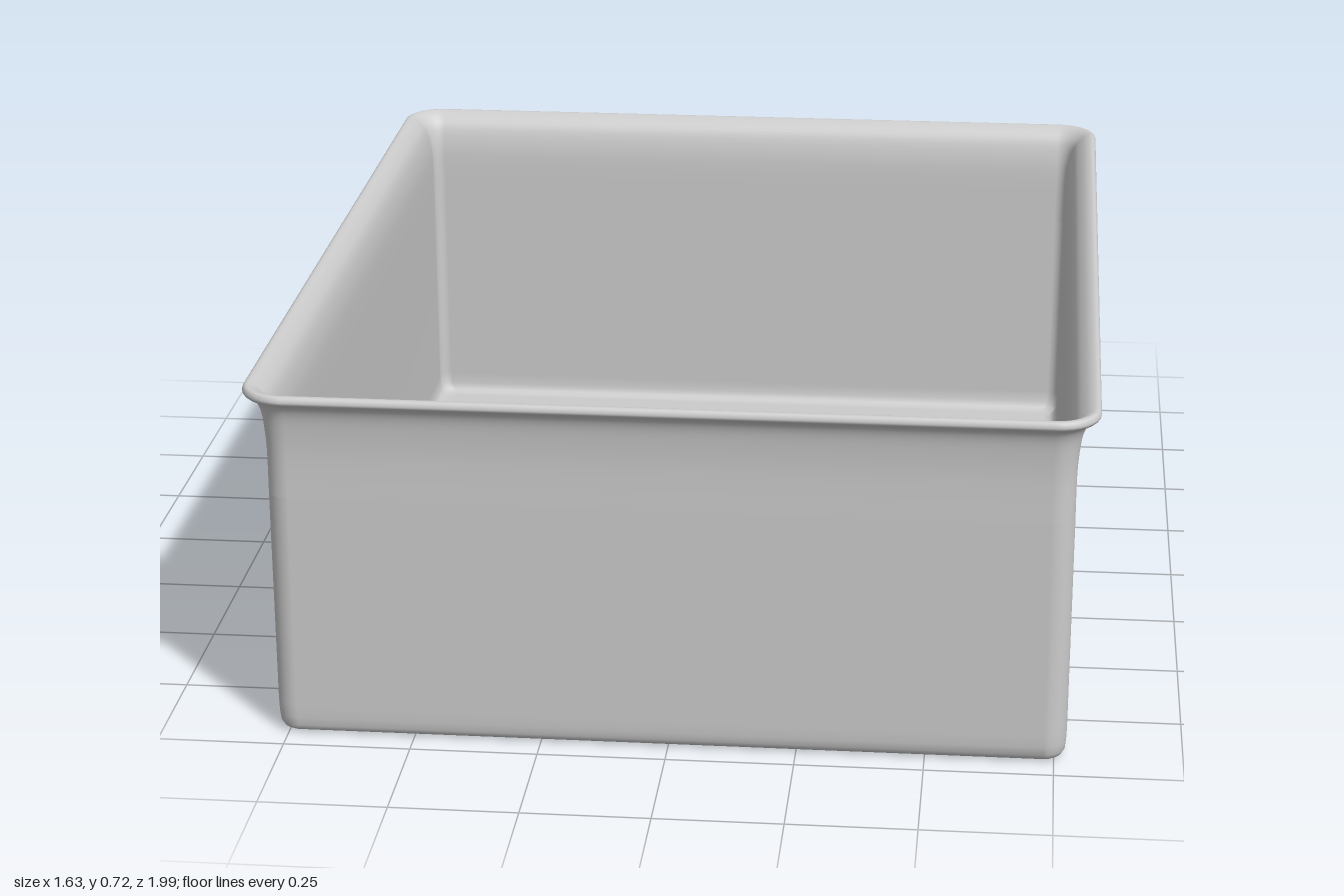
import * as THREE from 'three';

const HALF_X = 0.775, HALF_Z = 0.955; // outer wall half sizes
const CORNER = 0.045, STEPS = 8;

// Rounded rectangle, grown outwards by "grow", at height y
function ring(grow, y) {
  const r = Math.max(CORNER + grow, 0.025);
  const cx = HALF_X + grow - r, cz = HALF_Z + grow - r;
  const points = [];
  [[1, 1], [-1, 1], [-1, -1], [1, -1]].forEach(([sx, sz], q) => {
    for (let i = 0; i <= STEPS; i++) {
      const a = (q + i / STEPS) * Math.PI / 2;
      points.push([sx * cx + r * Math.cos(a), y, sz * cz + r * Math.sin(a)]);
    }
  });
  return points;
}

// Skin a list of rings with smooth normals
function loft(rings) {
  const n = rings[0].length, index = [];
  for (let i = 0; i < rings.length - 1; i++) {
    for (let j = 0; j < n; j++) {
      const k = (j + 1) % n;
      const a = i * n + j, b = i * n + k, c = a + n, d = b + n;
      index.push(a, c, b, b, c, d);
    }
  }
  const geometry = new THREE.BufferGeometry();
  geometry.setAttribute('position', new THREE.Float32BufferAttribute(rings.flat(2), 3));
  geometry.setIndex(index);
  geometry.computeVertexNormals();
  return geometry;
}

export function createModel() {
  const group = new THREE.Group();
  const material = new THREE.MeshStandardMaterial({ color: 0xcccccc, side: THREE.DoubleSide });
  const add = (name, rings) => {
    const mesh = new THREE.Mesh(loft(rings), material);
    mesh.name = name;
    group.add(mesh);
  };
  const rings = profile => profile.map(([grow, y]) => ring(grow, y));
  const centre = y => ring(0, y).map(() => [0, y, 0]);

  // Underside and outer walls
  add('outerWalls', [centre(0), ...rings([
    [-0.03, 0], [-0.02, 0.002], [-0.01, 0.008], [-0.004, 0.018], [-0.002, 0.035], [-0.001, 0.06], [0, 0.5],
  ])]);

  // Flared lip, rolled over from the outer to the inner wall
  const lip = new THREE.SplineCurve([
    [0, 0.5], [0, 0.58], [0.003, 0.63], [0.009, 0.67], [0.02, 0.693], [0.036, 0.702],
    [0.042, 0.71], [0.038, 0.72], [0.028, 0.721], [0.012, 0.712], [-0.006, 0.69],
    [-0.017, 0.65], [-0.021, 0.6], [-0.022, 0.5],
  ].map(p => new THREE.Vector2(...p)));
  add('rim', rings(lip.getPoints(52).map(p => [p.x, p.y])));

  // Inner walls and floor
  add('innerWallsAndFloor', [...rings([
    [-0.022, 0.5], [-0.024, 0.07], [-0.026, 0.045], [-0.032, 0.032], [-0.042, 0.026], [-0.055, 0.025],
  ]), centre(0.025)]);

  return group;
}
